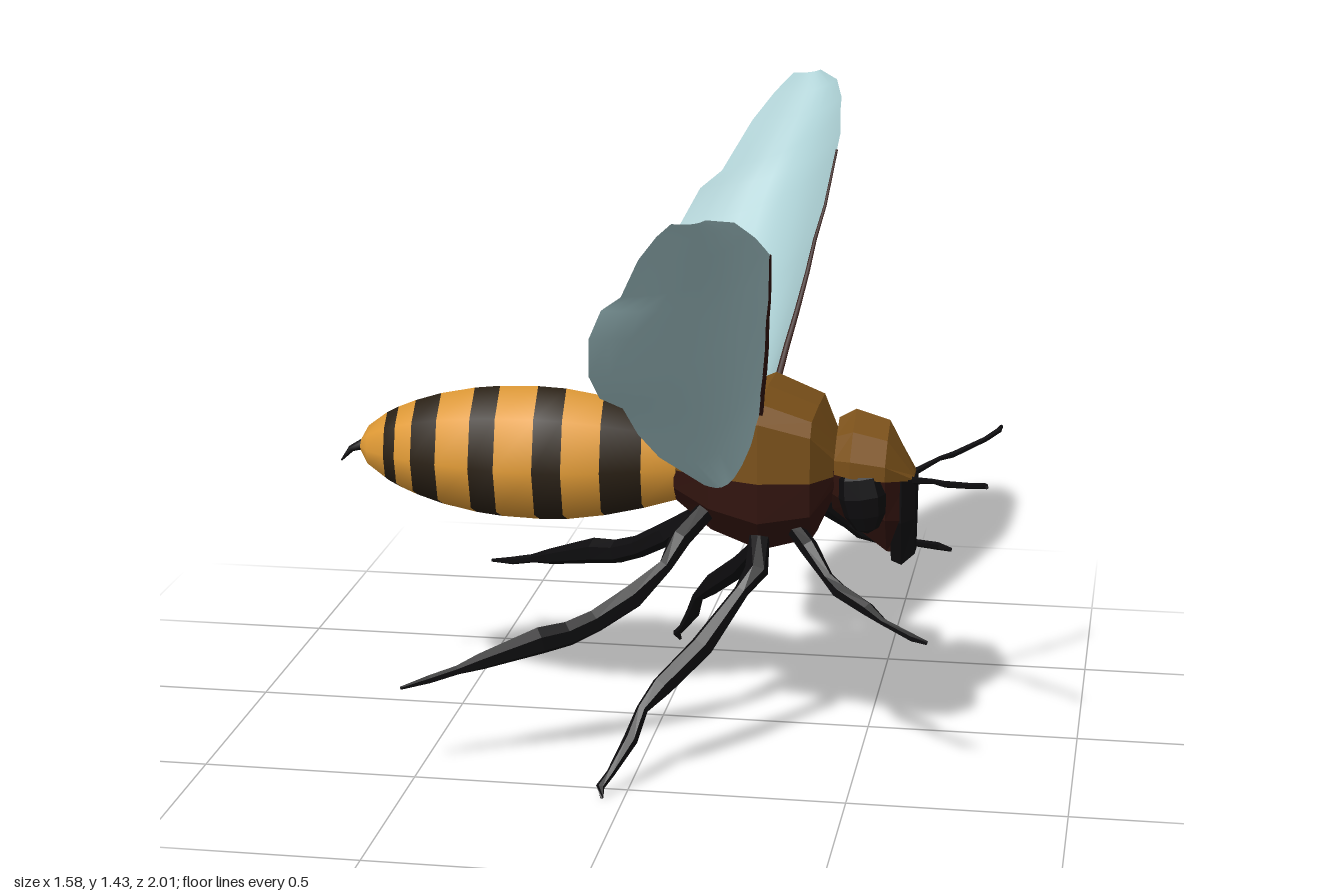
import * as THREE from 'three';

const GOLD = 0xe09a35, STRIPE = 0x2a2014, BROWN = 0x7a5019, DARK = 0x32140e, BLACK = 0x0d0c0e, WING = 0xa9ccd0;
const V = (x, y, z) => new THREE.Vector3(x, y, z);

// Skin a row of cross-sections (arrays of Vector3 with equal counts)
function loft(rings, { closed = true, caps = false } = {}) {
  const n = rings[0].length, pos = [], idx = [];
  rings.forEach(r => r.forEach(p => pos.push(p.x, p.y, p.z)));
  for (let i = 0; i < rings.length - 1; i++) {
    for (let j = 0; j < (closed ? n : n - 1); j++) {
      const a = i * n + j, b = i * n + (j + 1) % n;
      idx.push(a, b, a + n, b, b + n, a + n);
    }
  }
  if (caps) {
    const e = (rings.length - 1) * n;
    for (let j = 1; j < n - 1; j++) idx.push(0, j + 1, j, e, e + j, e + j + 1);
  }
  const g = new THREE.BufferGeometry();
  g.setAttribute('position', new THREE.Float32BufferAttribute(pos, 3));
  g.setIndex(idx);
  g.computeVertexNormals();
  return g;
}

function mesh(name, geometry, color, opts = {}) {
  const m = new THREE.Mesh(geometry, new THREE.MeshStandardMaterial({ color, ...opts }));
  m.name = name;
  return m;
}

// Tapered limb: points are [x, y, z, radius], side mirrors z
function limb(points, side = 1, sides = 6) {
  const p = points.map(q => V(q[0], q[1], q[2] * side));
  return loft(p.map((c, i) => {
    const d = p[Math.min(i + 1, p.length - 1)].clone().sub(p[Math.max(i - 1, 0)]).normalize();
    const u = V(0, 1, 0).addScaledVector(d, -d.y).normalize();
    const v = d.clone().cross(u);
    return Array.from({ length: sides }, (_, j) => {
      const a = j / sides * Math.PI * 2;
      return c.clone().addScaledVector(u, Math.cos(a) * points[i][3]).addScaledVector(v, Math.sin(a) * points[i][3]);
    });
  }), { caps: true });
}

// Half shell along x: rows are [x, seamY, edgeY, halfWidth], shape is [z, y] factors from seam to centre
function shell(rows, shape) {
  return loft(rows.map(([x, seam, edge, w]) => {
    const half = shape.map(([a, b]) => V(x, seam + (edge - seam) * b, a * w));
    const other = half.filter(p => p.z > 0).map(p => V(p.x, p.y, -p.z)).reverse();
    const ring = [...half, ...other];
    return edge > seam ? ring.reverse() : ring;
  }), { caps: true });
}

export function createModel() {
  const bee = new THREE.Group();
  bee.name = 'bee';
  const flat = { flatShading: true };

  // Abdomen: [x, half height, half width], alternating gold and dark bands
  const abdomen = [
    [-0.74, 0.012, 0.012], [-0.715, 0.05, 0.05], [-0.665, 0.085, 0.085], [-0.635, 0.1, 0.1],
    [-0.59, 0.118, 0.122], [-0.525, 0.138, 0.145], [-0.44, 0.155, 0.168], [-0.377, 0.162, 0.178],
    [-0.284, 0.165, 0.182], [-0.216, 0.162, 0.178], [-0.127, 0.148, 0.16], [-0.034, 0.125, 0.128],
    [0.045, 0.1, 0.1], [0.1, 0.07, 0.07]];
  const sides = 8;
  const skin = loft(abdomen.map(([x, h, w]) => Array.from({ length: sides }, (_, j) => {
    const a = j / sides * Math.PI * 2;
    const back = 0.018 * Math.cos(a) ** 4 * (w / 0.18);
    return V(x - back, 0.65 + Math.cos(a) * h, Math.sin(a) * w);
  })), { caps: true });
  const bands = [[], []];
  const all = Array.from(skin.index.array);
  for (let i = 0; i < abdomen.length - 1; i++) {
    bands[i >= 2 && i % 2 === 0 ? 1 : 0].push(...all.slice(i * sides * 6, (i + 1) * sides * 6));
  }
  bands[0].push(...all.slice((abdomen.length - 1) * sides * 6));
  ['abdomen', 'abdomenStripes'].forEach((name, k) => {
    const g = skin.clone();
    g.setIndex(bands[k]);
    bee.add(mesh(name, g, k ? STRIPE : GOLD));
  });
  bee.add(mesh('stinger', limb([[-0.73, 0.655, 0, 0.014], [-0.765, 0.64, 0, 0.008], [-0.79, 0.61, 0, 0.002]]), BLACK));

  // Thorax: [x, top, bottom, halfWidth]
  const thorax = [[0.04, 0.74, 0.56, 0.095], [0.13, 0.79, 0.495, 0.148], [0.25, 0.84, 0.455, 0.188],
    [0.37, 0.795, 0.488, 0.165], [0.42, 0.7, 0.6, 0.09]];
  bee.add(mesh('thoraxTop', shell(thorax.map(([x, top, , w]) => [x, 0.65, top, w]),
    [[1, 0], [1, 0.75], [0.82, 0.97], [0, 1]]), BROWN, flat));
  bee.add(mesh('thoraxUnderside', shell(thorax.map(([x, , bottom, w]) => [x, 0.65, bottom, w]),
    [[1, 0], [0.97, 0.5], [0.62, 0.92], [0, 1]]), DARK, flat));

  // Head with a ridged crown
  bee.add(mesh('headTop', shell([
    [0.42, 0.66, 0.77, 0.11], [0.46, 0.66, 0.792, 0.14], [0.54, 0.65, 0.768, 0.122], [0.6, 0.635, 0.645, 0.045]],
  [[1, 0], [1, 0.3], [0.55, 0.72], [0, 1]]), BROWN, flat));
  bee.add(mesh('headUnderside', shell([
    [0.41, 0.665, 0.55, 0.09], [0.46, 0.66, 0.515, 0.125], [0.54, 0.65, 0.45, 0.11], [0.59, 0.637, 0.435, 0.05]],
  [[1, 0], [0.9, 0.5], [0.4, 0.95], [0, 1]]), DARK, flat));
  bee.add(mesh('face', shell([
    [0.55, 0.64, 0.435, 0.07], [0.575, 0.645, 0.425, 0.072], [0.605, 0.635, 0.45, 0.045]],
  [[1, 0], [0.9, 0.5], [0.5, 1], [0, 1]]), BLACK, flat));

  // Wing stations: leading edge xyz, trailing edge xyz
  const wing = [
    [0.25, 0.80, 0.15, 0.13, 0.65, 0.21], [0.265, 0.88, 0.23, 0.03, 0.72, 0.24], [0.28, 0.95, 0.30, -0.01, 0.79, 0.30],
    [0.295, 1.03, 0.38, -0.03, 0.87, 0.38], [0.305, 1.10, 0.45, -0.07, 0.91, 0.45], [0.32, 1.17, 0.53, -0.08, 0.98, 0.53],
    [0.335, 1.29, 0.64, -0.06, 1.09, 0.63], [0.335, 1.32, 0.72, -0.02, 1.17, 0.70], [0.325, 1.36, 0.80, 0.03, 1.21, 0.74],
    [0.32, 1.385, 0.87, 0.09, 1.32, 0.87], [0.30, 1.42, 0.94, 0.14, 1.385, 0.94], [0.25, 1.435, 1.0, 0.18, 1.425, 1.0]];

  const limbs = {
    frontLeg: [[0.33, 0.53, 0.12, 0.02], [0.37, 0.50, 0.17, 0.022], [0.42, 0.445, 0.22, 0.014], [0.45, 0.42, 0.24, 0.019],
      [0.52, 0.39, 0.275, 0.017], [0.56, 0.375, 0.315, 0.009], [0.63, 0.355, 0.355, 0.01], [0.665, 0.345, 0.36, 0.005]],
    middleLeg: [[0.25, 0.52, 0.12, 0.025], [0.25, 0.44, 0.18, 0.028], [0.22, 0.40, 0.22, 0.018], [0.14, 0.29, 0.31, 0.028],
      [0.06, 0.215, 0.385, 0.026], [0.02, 0.17, 0.42, 0.014], [0.0, 0.11, 0.465, 0.017], [-0.035, 0.05, 0.525, 0.01],
      [-0.055, 0.025, 0.55, 0.01], [-0.048, 0.004, 0.565, 0.004]],
    hindLeg: [[0.12, 0.56, 0.11, 0.025], [0.07, 0.51, 0.18, 0.026], [0.04, 0.45, 0.21, 0.018], [-0.03, 0.385, 0.255, 0.03],
      [-0.11, 0.335, 0.295, 0.028], [-0.17, 0.31, 0.325, 0.03], [-0.23, 0.3, 0.355, 0.033], [-0.36, 0.26, 0.41, 0.02],
      [-0.41, 0.245, 0.435, 0.011], [-0.47, 0.228, 0.46, 0.01], [-0.53, 0.215, 0.495, 0.004]],
    antenna: [[0.585, 0.63, 0.025, 0.01], [0.65, 0.652, 0.1, 0.006], [0.68, 0.655, 0.13, 0.008],
      [0.75, 0.675, 0.205, 0.007], [0.78, 0.688, 0.245, 0.007], [0.785, 0.692, 0.27, 0.004]],
  };

  // Mirrored parts
  for (const [side, prefix] of [[1, 'right'], [-1, 'left']]) {
    for (const [name, path] of Object.entries(limbs)) {
      bee.add(mesh(prefix + name[0].toUpperCase() + name.slice(1), limb(path, side), BLACK, flat));
    }
    const eye = mesh(prefix + 'Eye', new THREE.SphereGeometry(1, 8, 6), BLACK, flat);
    eye.scale.set(0.056, 0.092, 0.04);
    eye.position.set(0.487, 0.61, 0.104 * side);
    eye.rotation.z = 0.15;
    bee.add(eye);

    // Thin membrane, deeply cupped behind its leading edge, flattening to the tip
    const membrane = loft(wing.map(([ax, ay, az, bx, by, bz]) => Array.from({ length: 9 }, (_, j) => {
      const t = j / 8, sag = 0.28 * (ay - az - 0.42) * Math.sin(Math.PI * t ** 0.75);
      const p = V(ax, ay, az).lerp(V(bx, by, bz), t);
      return V(p.x, p.y - sag, (p.z + sag) * side);
    })), { closed: false });
    bee.add(mesh(prefix + 'Wing', membrane, WING, { side: THREE.DoubleSide }));
    bee.add(mesh(prefix + 'WingVein', limb([[0.24, 0.77, 0.13, 0.014],
      ...wing.slice(0, 7).map((w, i) => [w[0], w[1], w[2], 0.009 - i * 0.001])], side, 5), DARK));
  }
  return bee;
}
